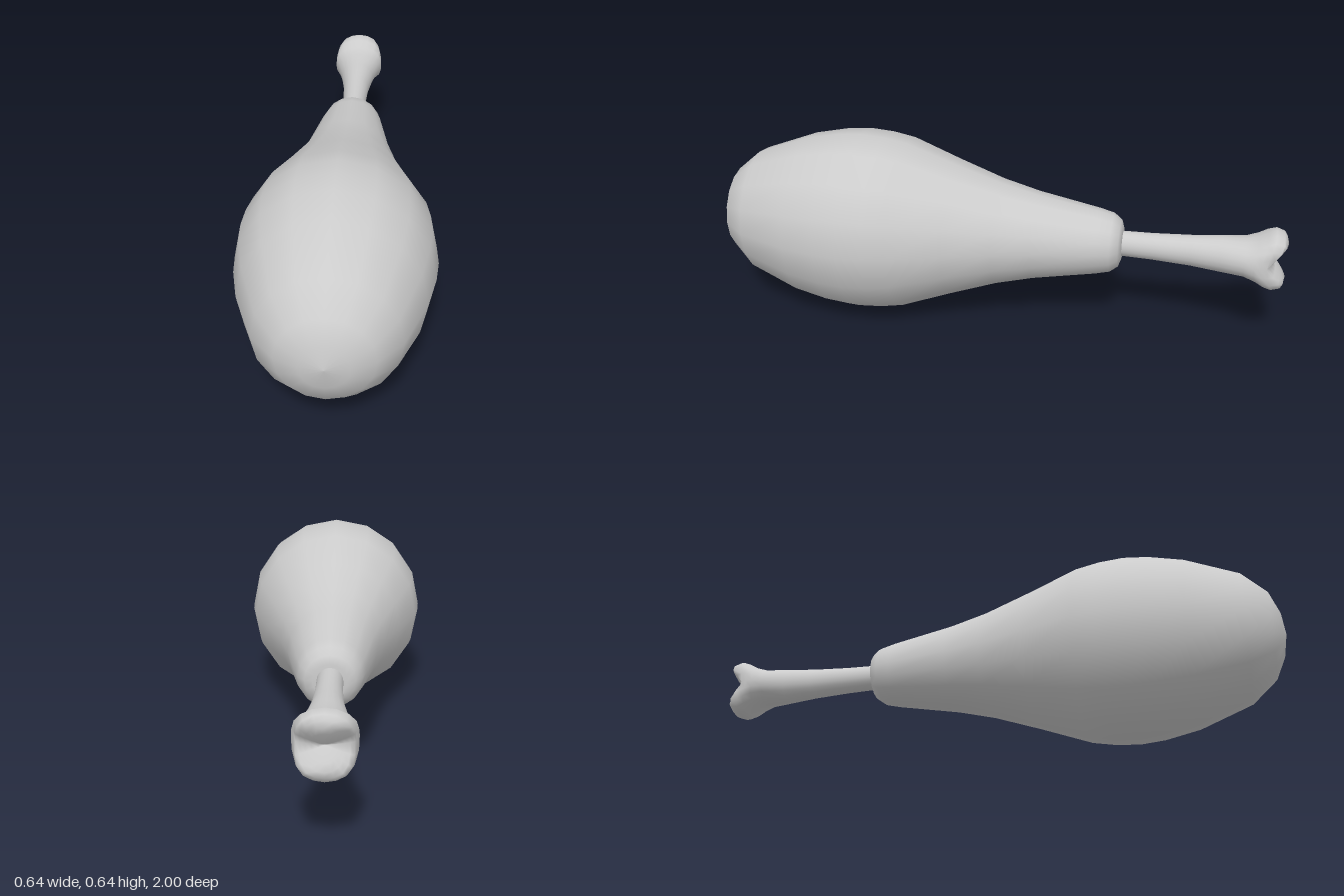
import * as THREE from 'three';

const CENTRE_Y = 0.322;
const material = () => new THREE.MeshStandardMaterial({ color: 0xcccccc });

// Smooth skin over closed rings of equal length, running towards -z
function loft(rings) {
  const n = rings[0].length;
  const index = [];
  for (let i = 0; i < rings.length - 1; i++) {
    for (let j = 0; j < n; j++) {
      const k = (j + 1) % n;
      const a = i * n + j, b = i * n + k, c = a + n, d = b + n;
      index.push(a, c, b, b, c, d);
    }
  }
  const geometry = new THREE.BufferGeometry();
  geometry.setAttribute('position', new THREE.Float32BufferAttribute(rings.flat(2), 3));
  geometry.setIndex(index);
  geometry.computeVertexNormals();
  return geometry;
}

// Meat: a sixteen-sided turned body, narrow at the back
function makeMeat() {
  const profile = [
    [0, -0.448], [0.055, -0.446], [0.082, -0.437], [0.103, -0.41], [0.115, -0.36],
    [0.154, -0.144], [0.186, -0.015], [0.24, 0.145], [0.303, 0.32], [0.317, 0.4],
    [0.3225, 0.485], [0.315, 0.57], [0.29, 0.69], [0.222, 0.87], [0.148, 0.955],
    [0.075, 0.988], [0, 1],
  ].map(([r, z]) => new THREE.Vector2(r, z));
  const geometry = new THREE.LatheGeometry(profile, 16).rotateX(Math.PI / 2);
  const mesh = new THREE.Mesh(geometry, material());
  mesh.name = 'meat';
  return mesh;
}

// Bone: a widening shaft that ends in two knuckles with a groove between them
function makeBone() {
  const sides = 20;
  const angles = Array.from({ length: sides }, (_, j) => (j / sides) * Math.PI * 2);
  // z, half width, half height, side pinch
  const sections = [
    [-0.4, 0.042, 0.043, 0], [-0.55, 0.043, 0.047, 0], [-0.68, 0.05, 0.054, 0],
    [-0.78, 0.064, 0.063, 0], [-0.86, 0.085, 0.066, 0.03], [-0.9, 0.105, 0.078, 0.1],
    [-0.93, 0.114, 0.096, 0.18], [-0.955, 0.11, 0.107, 0.22],
  ];
  const rings = sections.map(([z, w, h, pinch]) => angles.map((a) => {
    const side = Math.cos(a) ** 4;
    return [w * Math.cos(a) * (1 - pinch * side), h * Math.sin(a), z + 0.1 * pinch * side];
  }));
  // Grooved end face
  for (const s of [0.92, 0.78, 0.6, 0.4, 0.2, 0]) {
    rings.push(angles.map((a) => {
      const x = 0.11 * s * Math.cos(a) * (1 - 0.2 * Math.cos(a) ** 4);
      const y = 0.107 * s * Math.sin(a);
      const groove = 0.045 * Math.max(0, 1 - Math.abs(y) / 0.07) ** 1.2;
      const rim = 0.02 * Math.max(0, (Math.abs(y) - 0.07) / 0.03);
      return [x, y, -1 + 0.035 * (x / 0.1) ** 2 + groove + rim];
    }));
  }
  const mesh = new THREE.Mesh(loft(rings), material());
  mesh.name = 'bone';
  return mesh;
}

export function createModel() {
  const group = new THREE.Group();
  group.name = 'drumstick';
  for (const part of [makeMeat(), makeBone()]) {
    part.position.y = CENTRE_Y;
    group.add(part);
  }
  return group;
}
